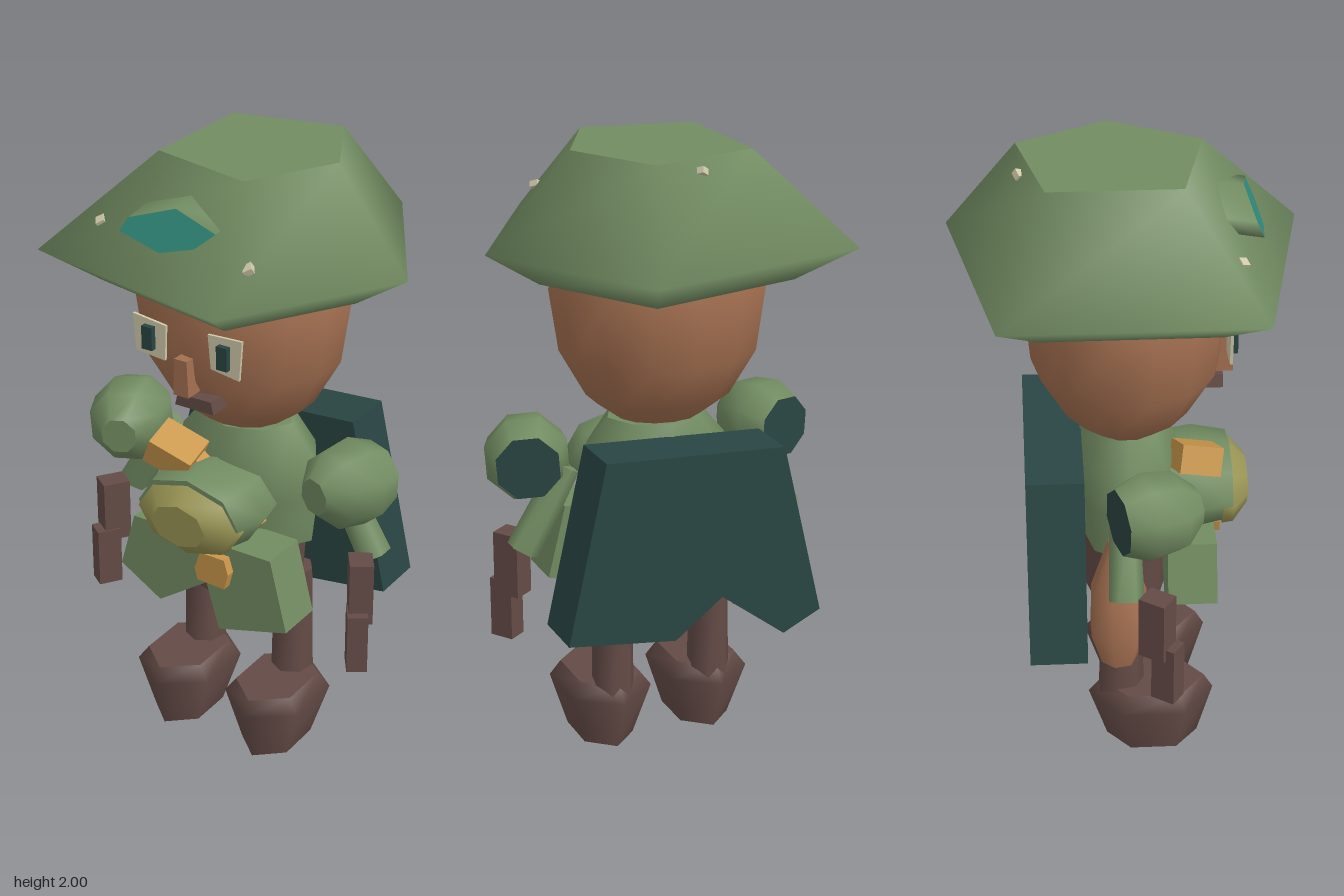
import * as THREE from 'three';

const mat = (name, color, double) => {
  const m = new THREE.MeshStandardMaterial({ color });
  m.name = name;
  if (double) m.side = THREE.DoubleSide;
  return m;
};

// Ring of points, counter-clockwise about +y: half sizes rx, rz at height y.
const ring = (n, y, rx, rz = rx, cx = 0, cz = 0, turn = 0) =>
  Array.from({ length: n }, (_, i) => {
    const a = turn + (i / n) * Math.PI * 2;
    return [cx + Math.sin(a) * rx, y, cz + Math.cos(a) * rz];
  });

// Smooth walls through the rings with flat end caps; groups: wall, first cap, last cap.
function loft(rings) {
  const n = rings[0].length, last = rings.length - 1;
  const pos = [...rings, rings[0], rings[last]].flat(2);
  const idx = [];
  for (let r = 0; r < last; r++)
    for (let i = 0; i < n; i++) {
      const j = (i + 1) % n, a = r * n + i, b = r * n + j;
      idx.push(a, b, b + n, a, b + n, a + n);
    }
  const wall = idx.length, c0 = (last + 1) * n, c1 = c0 + n;
  for (let i = 1; i < n - 1; i++) idx.push(c0, c0 + i + 1, c0 + i);
  for (let i = 1; i < n - 1; i++) idx.push(c1, c1 + i, c1 + i + 1);
  const g = new THREE.BufferGeometry();
  g.setAttribute('position', new THREE.Float32BufferAttribute(pos, 3));
  g.setIndex(idx);
  g.computeVertexNormals();
  const cap = (n - 2) * 3;
  g.addGroup(0, wall, 0);
  g.addGroup(wall, cap, 1);
  g.addGroup(wall + cap, cap, 2);
  return g;
}

// Flat outline in x,y extruded from z0 to z1.
function slab(points, z0, z1) {
  const shape = new THREE.Shape(points.map(([x, y]) => new THREE.Vector2(x, y)));
  const g = new THREE.ExtrudeGeometry(shape, { depth: z1 - z0, bevelEnabled: false });
  return g.translate(0, 0, z0);
}

export function createModel() {
  const group = new THREE.Group();
  const green = mat('leafGreen', 0x728c62);
  const darkTeal = mat('darkTeal', 0x294543);
  const skin = mat('skinBrown', 0xa36f50);
  const brown = mat('leatherBrown', 0x644b46);
  const orange = mat('orangeStrap', 0xc9964b);
  const olive = mat('oliveYellow', 0x989353);
  const teal = mat('brightTeal', 0x30897a);
  const cream = mat('cream', 0xd0c9aa);

  const add = (name, geo, m, p = [0, 0, 0], r = [0, 0, 0]) => {
    const mesh = new THREE.Mesh(geo, m);
    mesh.name = name;
    mesh.position.set(...p);
    mesh.rotation.set(...r);
    group.add(mesh);
    return mesh;
  };
  const box = (name, size, m, p, r) => add(name, new THREE.BoxGeometry(...size), m, p, r);
  const solid = (m) => [m, m, m];

  // Five-cornered hat
  const brim = [[0.55, 0], [0.23, -0.54], [-0.5, -0.39], [-0.5, 0.39], [0.23, 0.54]];
  const crown = [[0.29, -0.04], [0.14, -0.32], [-0.21, -0.24], [-0.21, 0.16], [0.14, 0.24]];
  const at = (pts, y, s = 1) => pts.map(([x, z]) => [x * s, y, z * s]);
  add('hat', loft([at(brim, 1.59, 0.69), at(brim, 1.7), at(crown, 2)]), solid(green));

  // Hat badge: tilted rim with a bright front face
  const badge = [[-0.19, 1.83], [-0.04, 1.8], [0.07, 1.83], [0.13, 1.88], [-0.02, 1.92], [-0.17, 1.87]];
  const badgeRing = (dy, dz) => badge.map(([x, y]) => [x, y + dy, 0.41 - 0.5 * (y - 1.8) + dz]);
  add('hatBadge', loft([badgeRing(0.015, -0.09), badgeRing(0, 0)]), [green, green, teal]);

  // Hat pins
  for (const [x, y, z] of [[-0.31, 1.81, 0.32], [0.24, 1.8, 0.37], [-0.01, 1.965, -0.31]])
    box('hatPin', [0.028, 0.02, 0.03], cream, [x, y, z], [0.4, 0.6, 0.3]);

  // Head
  const headProfile = [[1.12, 0.13, 0.11], [1.2, 0.235, 0.205], [1.35, 0.318, 0.292],
    [1.55, 0.348, 0.31], [1.68, 0.3, 0.27]];
  add('head', loft(headProfile.map(([y, rx, rz]) => ring(14, y, rx, rz, -0.015))), solid(skin));

  // Face
  const eyes = [
    [[-0.2, 1.415], [-0.095, 1.405], [-0.09, 1.52], [-0.21, 1.535]],
    [[0.07, 1.42], [0.17, 1.405], [0.18, 1.535], [0.06, 1.53]],
  ];
  eyes.forEach((e) => add('eyeWhite', slab(e, 0.304, 0.313), cream));
  for (const x of [-0.148, 0.12]) box('pupil', [0.038, 0.075, 0.025], darkTeal, [x, 1.472, 0.319]);
  add('nose', slab([[-0.055, 1.31], [0, 1.31], [-0.005, 1.43], [-0.05, 1.43]], 0.25, 0.33), skin);
  add('mouth', slab([[-0.07, 1.26], [0.07, 1.26], [0.06, 1.3], [-0.06, 1.3]], 0.2, 0.3), brown);

  // Torso and trousers
  add('torso', loft([ring(8, 0.73, 0.24, 0.15), ring(8, 0.9, 0.26, 0.17),
    ring(8, 1.02, 0.25, 0.17), ring(8, 1.13, 0.16, 0.13)]), solid(green));
  add('trousers', loft([ring(8, 0.49, 0.2, 0.13), ring(8, 0.75, 0.22, 0.14)]), solid(brown));

  // Belly bundle, lofted along z
  const upZ = [Math.PI / 2, 0, 0];
  add('bellyRim', loft([ring(8, 0.1, 0.19, 0.12), ring(8, 0.22, 0.215, 0.135), ring(8, 0.33, 0.185, 0.12)]),
    solid(green), [-0.01, 0.905, 0], upZ);
  add('bellyFront', loft([ring(8, 0.3, 0.188, 0.122), ring(8, 0.335, 0.182, 0.118), ring(8, 0.385, 0.1, 0.07)]),
    solid(olive), [-0.01, 0.89, 0], upZ);

  // Straps and buckle
  box('shoulderClasp', [0.15, 0.09, 0.13], orange, [-0.13, 1.045, 0.215], [0.2, 0.1, -0.42]);
  box('chestStrap', [0.34, 0.09, 0.06], orange, [0.01, 0.93, 0.19], [0, 0, -0.66]);
  add('buckle', slab([[0.01, 0.67], [0.11, 0.665], [0.125, 0.72], [0.11, 0.77], [0.02, 0.77], [0, 0.71]],
    0.24, 0.31), orange);

  // Tunic panels
  add('tunicPanelRight', slab([[-0.31, 0.61], [-0.16, 0.52], [0.03, 0.65], [0.03, 0.8], [-0.255, 0.8]],
    0.12, 0.275), green);
  add('tunicPanelLeft', slab([[0.02, 0.66], [0.07, 0.49], [0.32, 0.56], [0.26, 0.8], [0.02, 0.8]],
    0.12, 0.28), green);

  // Backpack with notched lower edge
  add('backpack', slab([[0.3, 1.11], [-0.3, 1.07], [-0.44, 0.49], [-0.31, 0.43], [-0.09, 0.6],
    [0.07, 0.48], [0.43, 0.53]], -0.32, -0.14), darkTeal);

  // Hip pouch
  add('hipPouch', loft([ring(7, -0.2, 0.08, 0.06), ring(7, -0.1, 0.115, 0.095), ring(7, 0.04, 0.105, 0.09),
    ring(7, 0.21, 0.03, 0.03)]), solid(skin), [-0.31, 0.635, -0.04], [0, 0, -0.15]);

  for (const s of [-1, 1]) {
    const side = s > 0 ? 'Left' : 'Right';

    // Legs and boots
    const lx = s > 0 ? 0.16 : -0.185;
    add('leg' + side, loft([ring(7, 0.18, 0.07, 0.078), ring(7, 0.6, 0.062, 0.065)]), solid(brown), [lx, 0, -0.025]);
    const bx = s > 0 ? 0.163 : -0.187;
    add('boot' + side, loft([ring(6, 0, 0.1, 0.15, 0, 0.08), ring(6, 0.18, 0.16, 0.205, 0, 0.075),
      ring(6, 0.23, 0.12, 0.17, 0, 0.08)]), solid(brown), [bx, 0, 0]);

    // Shoulder puff, open end facing back
    const puff = add('shoulderPuff' + side, loft([ring(8, -0.125, 0.105), ring(8, -0.04, 0.14),
      ring(8, 0.06, 0.125), ring(8, 0.13, 0.06)]), [green, darkTeal, green], [s * 0.405, 1.02, 0.075]);
    const axis = new THREE.Vector3(-s * 0.32, 0, 0.95).normalize();
    puff.quaternion.setFromUnitVectors(new THREE.Vector3(0, 1, 0), axis);

    // Sleeve flaring outward and down
    add('sleeve' + side, loft([ring(6, -0.15, 0.055, 0.055), ring(6, 0.15, 0.045, 0.045)]),
      solid(green), [s * 0.385, 0.87, -0.02], [0, 0, s * 0.52]);

    // Forearm and hand
    const ax = s > 0 ? 0.463 : -0.488;
    box('forearm' + side, [0.075, 0.21, 0.09], brown, [ax, 0.665, 0.072], [0, s * 0.6, 0]);
    box('hand' + side, [0.065, 0.2, 0.08], brown, [ax + s * 0.01, 0.5, 0.105], [0, s * 0.6, 0]);
  }

  return group;
}
